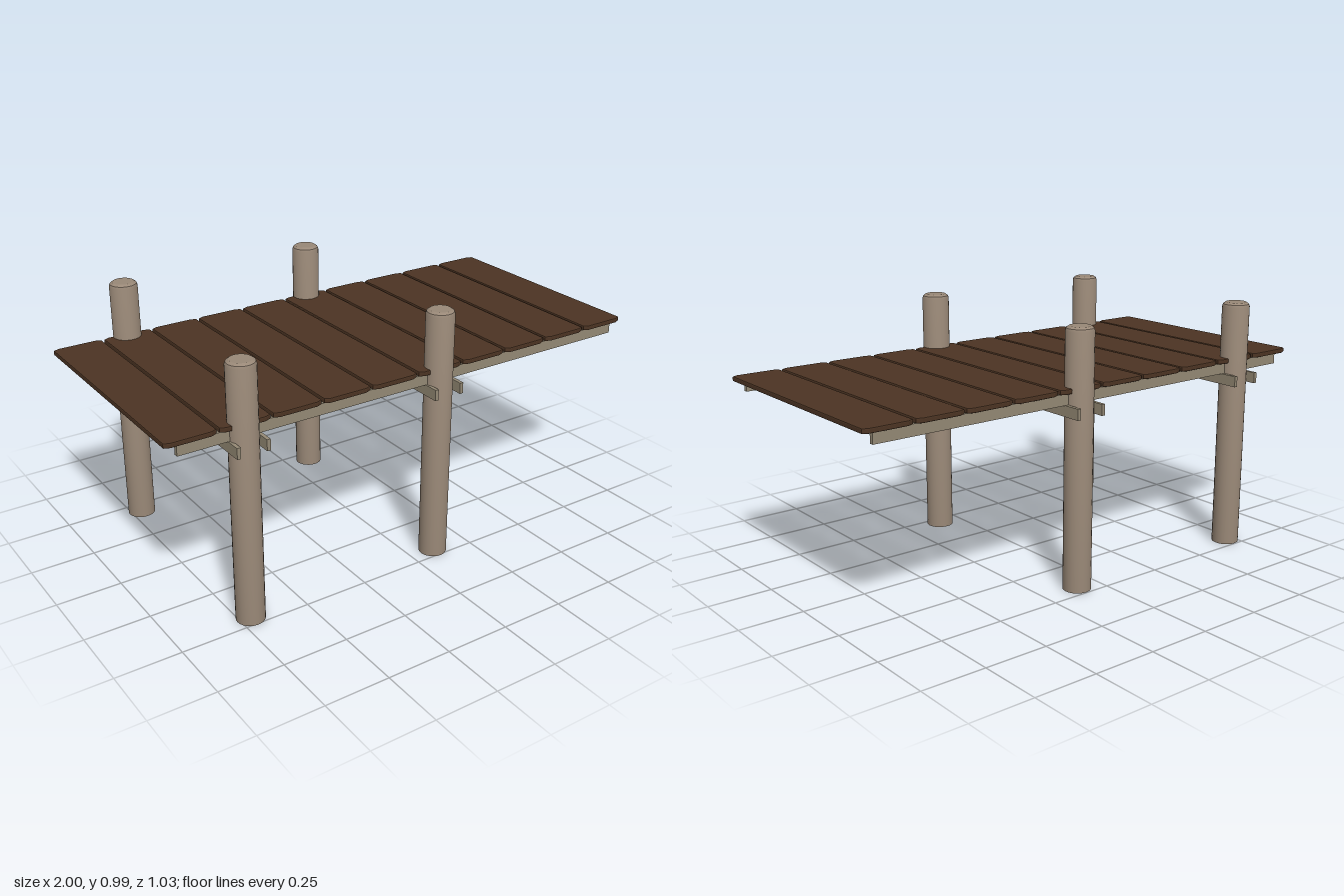
import * as THREE from 'three';
import { toCreasedNormals } from 'three/addons/utils/BufferGeometryUtils.js';

const postWood = new THREE.MeshStandardMaterial({ color: 0x998877 });
postWood.name = 'post wood';
const beamWood = new THREE.MeshStandardMaterial({ color: 0x958a75 });
beamWood.name = 'beam wood';
const plankWood = new THREE.MeshStandardMaterial({ color: 0x4c3423 });
plankWood.name = 'plank wood';

export function createModel() {
  const pier = new THREE.Group();
  pier.name = 'pier';

  const add = (name, geometry, material, x, y, z) => {
    const mesh = new THREE.Mesh(geometry, material);
    mesh.name = name;
    mesh.position.set(x, y, z);
    pier.add(mesh);
  };

  // Round posts with a chamfered top
  const profile = [[0, 0], [0.0535, 0], [0.0535, 0.975], [0.05, 0.985], [0.04, 0.992], [0, 0.992]]
    .map(([r, y]) => new THREE.Vector2(r, y));
  const postGeometry = toCreasedNormals(new THREE.LatheGeometry(profile, 24), 0.5);

  // Paired cross beams clamp each row of posts
  const beamGeometry = new THREE.BoxGeometry(0.014, 0.042, 1.031);
  for (const x of [-0.708, 0.1]) {
    for (const z of [0.4535, -0.4435]) add('post', postGeometry, postWood, x, 0, z);
    for (const side of [-1, 1]) {
      add('crossBeam', beamGeometry, beamWood, x + 0.004 + side * 0.056, 0.692, 0);
    }
  }

  // Long stringers under the deck
  const stringerGeometry = new THREE.BoxGeometry(1.91, 0.042, 0.016);
  for (const z of [0.45, -0.439]) add('stringer', stringerGeometry, beamWood, 0.003, 0.734, z);

  // Deck planks with clipped corners and softened edges
  const bevel = 0.004, w = 0.095 - bevel, l = 0.467 - bevel, cx = 0.018, cz = 0.008;
  const outline = new THREE.Shape([
    [w, -l + cz], [w, l - cz], [w - cx, l], [-w + cx, l],
    [-w, l - cz], [-w, -l + cz], [-w + cx, -l], [w - cx, -l],
  ].map(([x, y]) => new THREE.Vector2(x, y)));
  const plankGeometry = new THREE.ExtrudeGeometry(outline, {
    depth: 0.011, bevelEnabled: true, bevelSize: bevel, bevelThickness: bevel, bevelSegments: 2,
  });
  plankGeometry.rotateX(-Math.PI / 2);
  for (let i = 0; i < 10; i++) {
    add('plank', plankGeometry, plankWood, -0.905 + i * 1.81 / 9, 0.759, 0.0045);
  }

  return pier;
}
